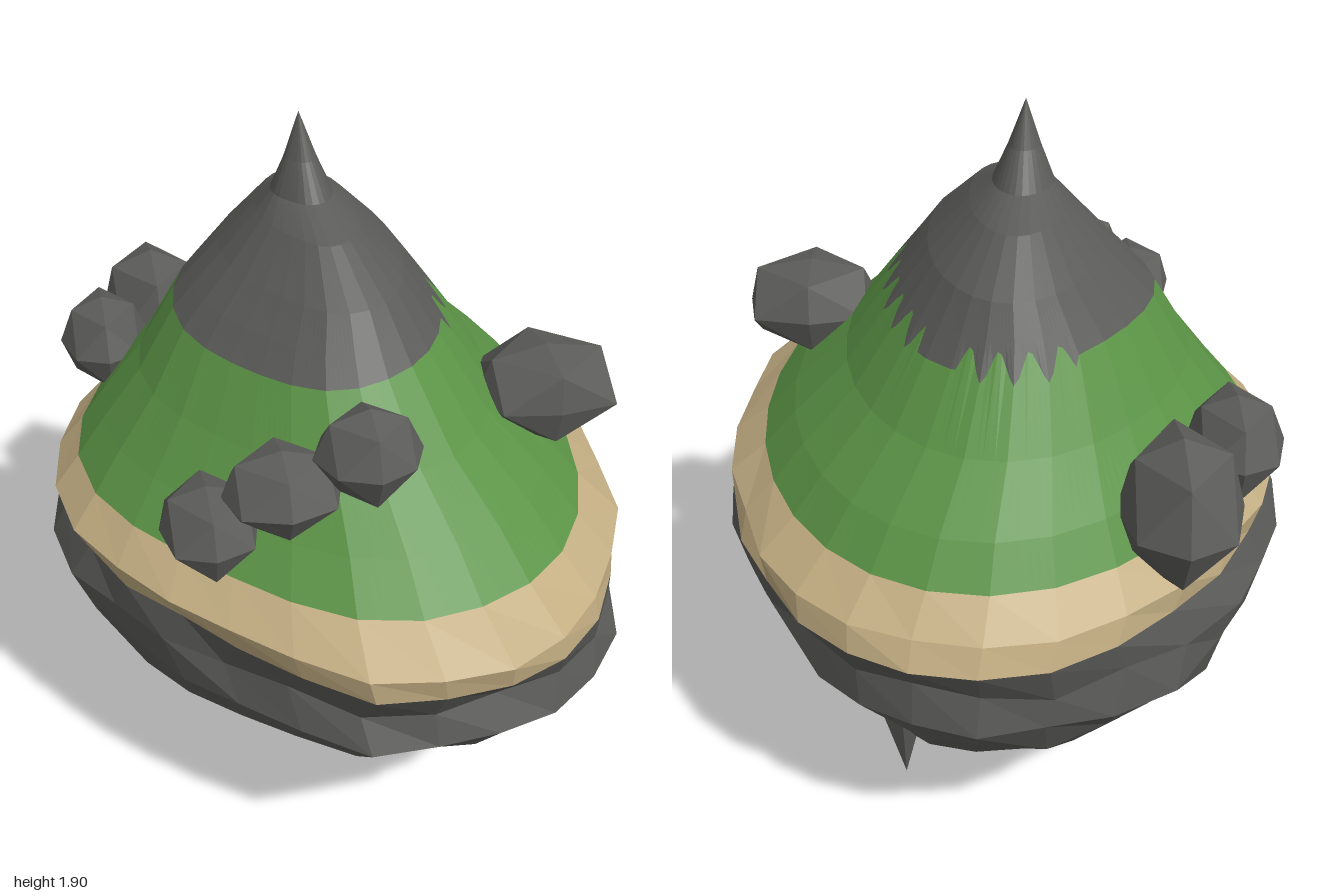
import * as THREE from 'three';

const FACETS = 28, FINE = 196; // island facets, and finer steps for the cap's ragged edge

// Repeatable noise from -1 to 1
const noise = (a, b) => {
  const s = Math.sin(a * 127.1 + b * 311.7) * 43758.5453;
  return (s - Math.floor(s)) * 2 - 1;
};

// Outlines by height: y, xMin, xMax, zMin, zMax
const RIM = [0.83, -0.75, 0.77, -1.0, 1.0];
const HULL = [
  [0.14, 0, 0, -0.08, -0.08],
  [0.2, -0.22, 0.28, -0.38, 0.27],
  [0.27, -0.36, 0.42, -0.57, 0.53],
  [0.37, -0.53, 0.6, -0.76, 0.71],
  [0.48, -0.69, 0.69, -0.86, 0.82],
  [0.6, -0.74, 0.77, -0.96, 0.95],
  [0.72, -0.79, 0.79, -0.94, 0.9],
  RIM,
];
const HILL = [
  RIM,
  [0.9, -0.78, 0.77, -0.96, 1.0],
  [0.98, -0.7, 0.67, -0.86, 0.86],
  [1.08, -0.62, 0.58, -0.79, 0.75],
  [1.22, -0.51, 0.43, -0.66, 0.61],
  [1.4, -0.4, 0.3, -0.53, 0.45],
  [1.53, -0.27, 0.2, -0.45, 0.34],
  [1.64, -0.17, 0.09, -0.31, 0.19],
  [1.69, -0.13, 0.03, -0.18, 0.05],
  [1.78, -0.095, -0.01, -0.11, -0.01],
  [1.9, -0.055, -0.055, -0.06, -0.06],
];

// Bulge of each diagonal: front left, front right, back right, back left as seen in angle order
const HILL_BULGE = [0.02, -0.1, -0.03, -0.01];
const HULL_BULGE = [0.08, -0.07, 0.04, -0.09];

// Uneven oval: ends pushed towards +x, diagonals bulged
function onOutline([y, x0, x1, z0, z1], angle, scale = 1) {
  const step = (2 * Math.PI) / FACETS, k = Math.floor(angle / step + 1e-6), t = angle / step - k;
  const deep = THREE.MathUtils.clamp((RIM[0] - y) / 0.2, 0, 1);
  const at = (a) => {
    const c = Math.cos(a), s = Math.sin(a);
    const q = s > 0 ? (c > 0 ? 0 : 1) : (c < 0 ? 2 : 3);
    const bulge = THREE.MathUtils.lerp(HILL_BULGE[q], HULL_BULGE[q], deep);
    const r = scale * (1 + bulge * Math.sin(2 * a) ** 2);
    return new THREE.Vector3(
      (x0 + x1) / 2 + ((x1 - x0) / 2) * r * (c + 0.1 * s * s), y,
      (z0 + z1) / 2 + ((z1 - z0) / 2) * r * s);
  };
  return at(k * step).lerp(at((k + 1) * step), t);
}

// Rough edge shared by the underside and the beach
const rimPoint = (i, a) => onOutline(RIM, a, 0.99 + 0.015 * noise(i, 30));

// Outline of the hill at any height
function hillOutline(y) {
  let i = 0;
  while (i < HILL.length - 2 && HILL[i + 1][0] < y) i++;
  const t = (y - HILL[i][0]) / (HILL[i + 1][0] - HILL[i][0]);
  return HILL[i].map((v, n) => v + (HILL[i + 1][n] - v) * t);
}

// Skin between rows, listed from the bottom up
function loft(rows, segments, point) {
  const pos = [], index = [], w = segments;
  for (let j = 0; j < rows; j++)
    for (let i = 0; i < w; i++) pos.push(...point(i, j, (i / w) * 2 * Math.PI).toArray());
  for (let j = 0; j < rows - 1; j++)
    for (let i = 0; i < w; i++) {
      const n = (i + 1) % w, a = j * w + i, b = j * w + n, c = b + w, d = a + w;
      index.push(a, d, c, a, c, b);
    }
  const g = new THREE.BufferGeometry();
  g.setAttribute('position', new THREE.Float32BufferAttribute(pos, 3));
  g.setIndex(index);
  const flat = g.toNonIndexed();
  flat.computeVertexNormals();
  return flat;
}

// Height of the cap's lower edge: ragged on the +x side and at the back
function capEdge(i) {
  const a = (i / FINE) * 2 * Math.PI;
  const d = Math.atan2(Math.sin(a), Math.cos(a));
  const ragged = (d > -0.8 && d < 0.45) || (d > -2.0 && d < -1.15);
  return ragged ? 1.365 + [0, 0.015, 0.035, 0.06, 0.065, 0.045, 0.015][i % 7] : 1.39 + 0.015 * Math.sin(2 * a);
}

// Faceted boulder; a lower power makes it blockier
function rockGeometry(seed, power) {
  const g = new THREE.OctahedronGeometry(1, 1), p = g.attributes.position;
  for (let i = 0; i < p.count; i++) {
    const v = [p.getX(i), p.getY(i), p.getZ(i)].map((c) => Math.round(c * 100) / 100);
    const s = 1 + 0.05 * noise(v[0] + v[1] * 3.7 + v[2] * 7.3, seed);
    p.setXYZ(i, ...v.map((c) => Math.sign(c) * Math.abs(c) ** power * s));
  }
  g.computeVertexNormals();
  return g;
}

export function createModel() {
  const material = (name, color) => Object.assign(new THREE.MeshStandardMaterial({ color, flatShading: true }), { name });
  const stone = material('stone', 0x5b5b59);
  const grass = material('grass', 0x5b9346);
  const sand = material('sand', 0xc2ad82);

  const model = new THREE.Group();
  model.name = 'floatingIsland';
  const add = (name, geometry, mat, x = 0, y = 0, z = 0) => {
    const m = new THREE.Mesh(geometry, mat);
    m.name = name;
    m.position.set(x, y, z);
    model.add(m);
    return m;
  };

  // Craggy underside
  add('underside', loft(HULL.length, FACETS, (i, j, a) => {
    if (j === HULL.length - 1) return rimPoint(i, a);
    const rough = j > 0 ? 1 : 0;
    const p = onOutline(HULL[j], a, 1 + rough * (0.02 * noise(i, j) - 0.01));
    p.y += rough * 0.02 * noise(i + 40, j);
    return p;
  }), stone);

  // Beach rim
  add('beach', loft(3, FACETS, (i, j, a) =>
    j === 0 ? rimPoint(i, a) : onOutline(HILL[j], a, j === 1 ? 0.99 + 0.015 * noise(i, 20) : 1)), sand);

  // Grassy slope up to the ragged edge
  add('grassSlope', loft(4, FINE, (i, j, a) =>
    onOutline(hillOutline([0.98, 1.08, 1.22, capEdge(i)][j]), a)), grass);

  // Bare peak
  add('peak', loft(7, FINE, (i, j, a) =>
    onOutline(hillOutline(j ? HILL[j + 4][0] + (j === 1 ? 0.05 : 0) : capEdge(i)), a)), stone);

  // Boulders: centre, half sizes, power
  [
    [0.545, 1.2, 0.25, 0.19, 0.12, 0.165, 0.6],
    [-0.02, 1.29, 0.59, 0.135, 0.13, 0.13, 1],
    [-0.23, 1.2, 0.57, 0.15, 0.115, 0.135, 0.9],
    [-0.41, 1.105, 0.54, 0.125, 0.115, 0.16, 0.9],
    [-0.41, 1.07, -0.64, 0.16, 0.2, 0.21, 0.9],
    [-0.58, 1.115, -0.41, 0.125, 0.135, 0.175, 0.9],
  ].forEach(([x, y, z, sx, sy, sz, power], n) => {
    add('boulder' + (n + 1), rockGeometry(n + 1, power), stone, x, y, z).scale.set(sx, sy, sz);
  });

  // Hanging spikes: x, tip height, z, length
  [
    [-0.25, 0.03, 0.2, 0.26],
    [-0.22, 0.0, -0.27, 0.28],
    [0.28, 0.23, -0.68, 0.3],
  ].forEach(([x, tip, z, h], n) => {
    const cone = new THREE.ConeGeometry(0.075, h, 6);
    cone.rotateX(Math.PI);
    add('hangingSpike' + (n + 1), cone, stone, x, tip + h / 2, z);
  });

  return model;
}
